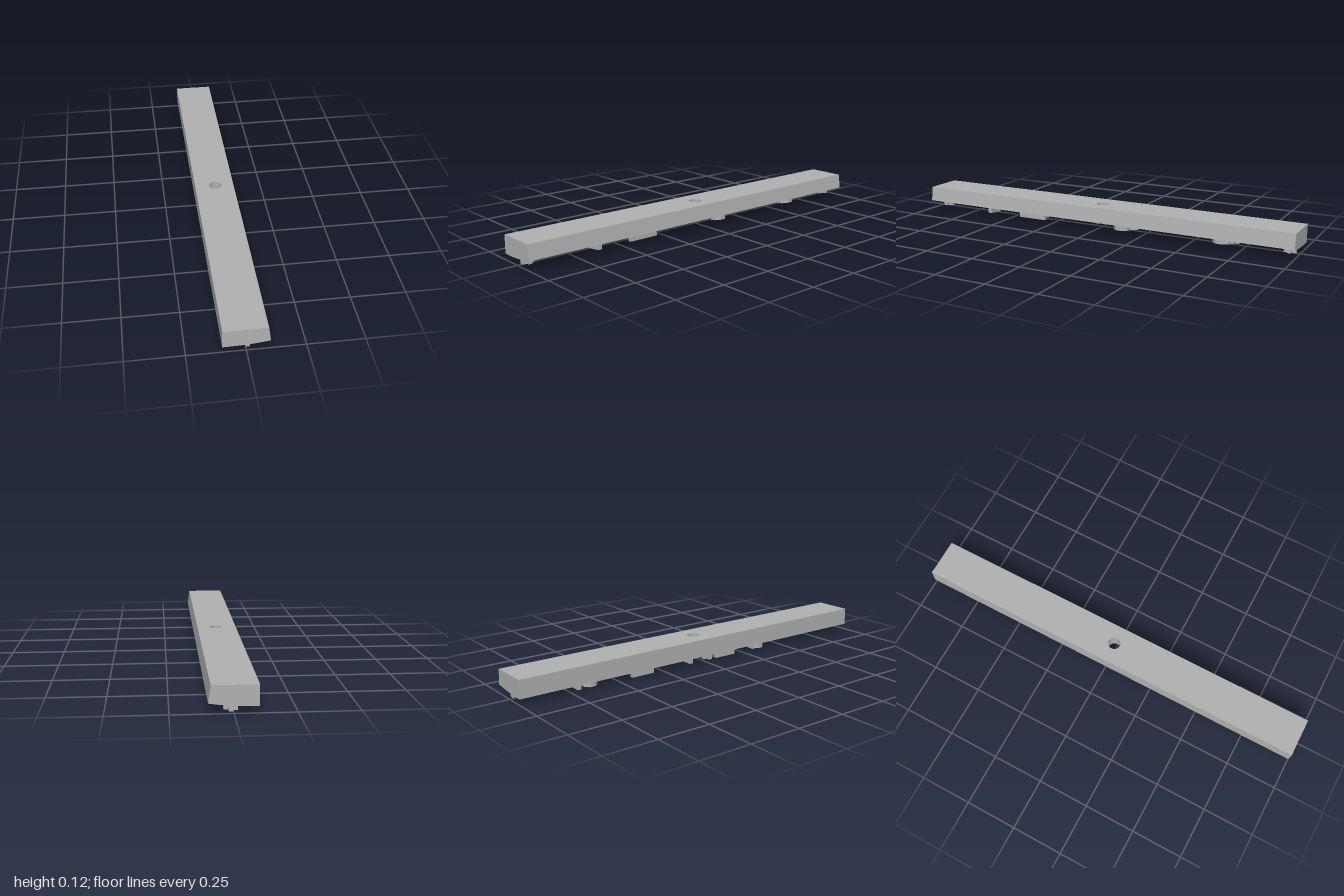
import * as THREE from 'three';

// Height of the gently curved underside at a given x
const under = (x) => 0.028 - 0.02 * (x + 0.1) + 0.45 * (x + 0.1) ** 2;

const TOP = 0.115, HOLE = 0.03, PAD = 0.0278;

// Bar with a round hole: one cross-section per angle, from the hole to the rim
function barGeometry() {
  const rays = 64, steps = 8, sections = [];
  for (let i = 0; i < rays; i++) {
    const a = (i / rays) * Math.PI * 2, c = Math.cos(a), s = Math.sin(a);
    const m = Math.max(Math.abs(c), Math.abs(s));
    const inner = [HOLE * c, HOLE * s], outer = [0.1 * c / m, s / m];
    // the +x side leans inwards towards the top
    const topX = outer[0] > 0 ? outer[0] * 0.9 : outer[0];
    const section = [[inner[0], TOP, inner[1]], [topX, TOP, outer[1]]];
    for (let k = steps; k >= 0; k--) {
      const t = k / steps;
      const x = inner[0] + (outer[0] - inner[0]) * t;
      section.push([x, under(x), inner[1] + (outer[1] - inner[1]) * t]);
    }
    sections.push(section);
  }
  const n = sections[0].length, index = [];
  for (let i = 0; i < rays; i++) {
    for (let j = 0; j < n; j++) {
      const a = i * n + j, b = ((i + 1) % rays) * n + j;
      const c = ((i + 1) % rays) * n + (j + 1) % n, d = i * n + (j + 1) % n;
      index.push(a, b, c, a, c, d);
    }
  }
  const geo = new THREE.BufferGeometry();
  geo.setAttribute('position', new THREE.Float32BufferAttribute(sections.flat(2), 3));
  geo.setIndex(index);
  const flat = geo.toNonIndexed();
  flat.computeVertexNormals();
  return flat;
}

const polygon = (points) => new THREE.Shape(points.map(([x, z]) => new THREE.Vector2(x, z)));

const rect = (x0, x1, z0, z1) => polygon([[x0, z0], [x1, z0], [x1, z1], [x0, z1]]);

// Eight-sided ring
function ring(x, z, rx, rz, hole) {
  const loop = (k) => Array.from({ length: 8 }, (_, i) => {
    const a = (i + 0.5) * Math.PI / 4;
    return [x + rx * k * Math.cos(a), z + rz * k * Math.sin(a)];
  });
  const shape = polygon(loop(1.08));
  shape.holes.push(polygon(loop(hole)));
  return shape;
}

// Small four-armed stud
function cross(x, z, r, w) {
  const pts = [];
  for (let i = 0; i < 4; i++) {
    const c = Math.round(Math.cos(i * Math.PI / 2)), s = Math.round(Math.sin(i * Math.PI / 2));
    for (const [u, v] of [[w, -w], [r, -w], [r, w]]) pts.push([x + u * c - v * s, z + u * s + v * c]);
  }
  return polygon(pts);
}

// Raised pad hanging below the bar, following its curve
function padGeometry(shape) {
  const geo = new THREE.ExtrudeGeometry(shape, { depth: PAD + 0.004, bevelEnabled: false, curveSegments: 8 });
  geo.rotateX(Math.PI / 2).translate(0, 0.004, 0);
  const p = geo.attributes.position;
  for (let i = 0; i < p.count; i++) p.setY(i, p.getY(i) + under(p.getX(i)));
  geo.computeVertexNormals();
  return geo;
}

export function createModel() {
  const model = new THREE.Group();
  model.name = 'curvedBar';
  const grey = new THREE.MeshStandardMaterial({ color: 0xb2b2b2 });
  grey.name = 'grey';

  const add = (name, geo) => {
    const mesh = new THREE.Mesh(geo, grey);
    mesh.name = name;
    model.add(mesh);
  };
  add('bar', barGeometry());

  const pads = {
    frontStud: cross(0.008, 0.957, 0.028, 0.009),
    backStud: cross(0.01, -0.957, 0.028, 0.009),
    frontCrossRib: rect(0, 0.08, 0.62, 0.64),
    frontLongRib: rect(0.05, 0.07, 0.3, 0.45),
    frontSpacerRib: rect(-0.08, 0.052, 0.325, 0.345),
    frontInnerRing: ring(-0.005, 0.375, 0.03, 0.034, 0.5),
    frontOuterRing: ring(-0.06, 0.372, 0.028, 0.032, 0.5),
    middleFrontRib: rect(-0.085, -0.065, 0.08, 0.2),
    middleStud: cross(-0.056, 0.045, 0.028, 0.01),
    middleRing: ring(0.035, -0.125, 0.034, 0.036, 0.55),
    middleShortRib: rect(-0.082, -0.035, -0.085, -0.065),
    middleBentRib: polygon([[0.005, -0.14], [-0.03, -0.125], [-0.03, -0.145], [-0.012, -0.16],
      [-0.028, -0.188], [-0.008, -0.19], [0.008, -0.165]]),
    middleBackRib: rect(-0.085, -0.065, -0.42, -0.3),
    backInnerRing: ring(0.02, -0.635, 0.034, 0.04, 0.55),
    backOuterRing: ring(-0.045, -0.63, 0.034, 0.035, 0.5),
    backBentRib: polygon([[0.01, -0.665], [-0.03, -0.67], [-0.03, -0.69], [-0.08, -0.69],
      [-0.08, -0.71], [-0.01, -0.71], [-0.01, -0.69], [0.01, -0.69]]),
  };
  for (const [name, shape] of Object.entries(pads)) add(name, padGeometry(shape));
  return model;
}
